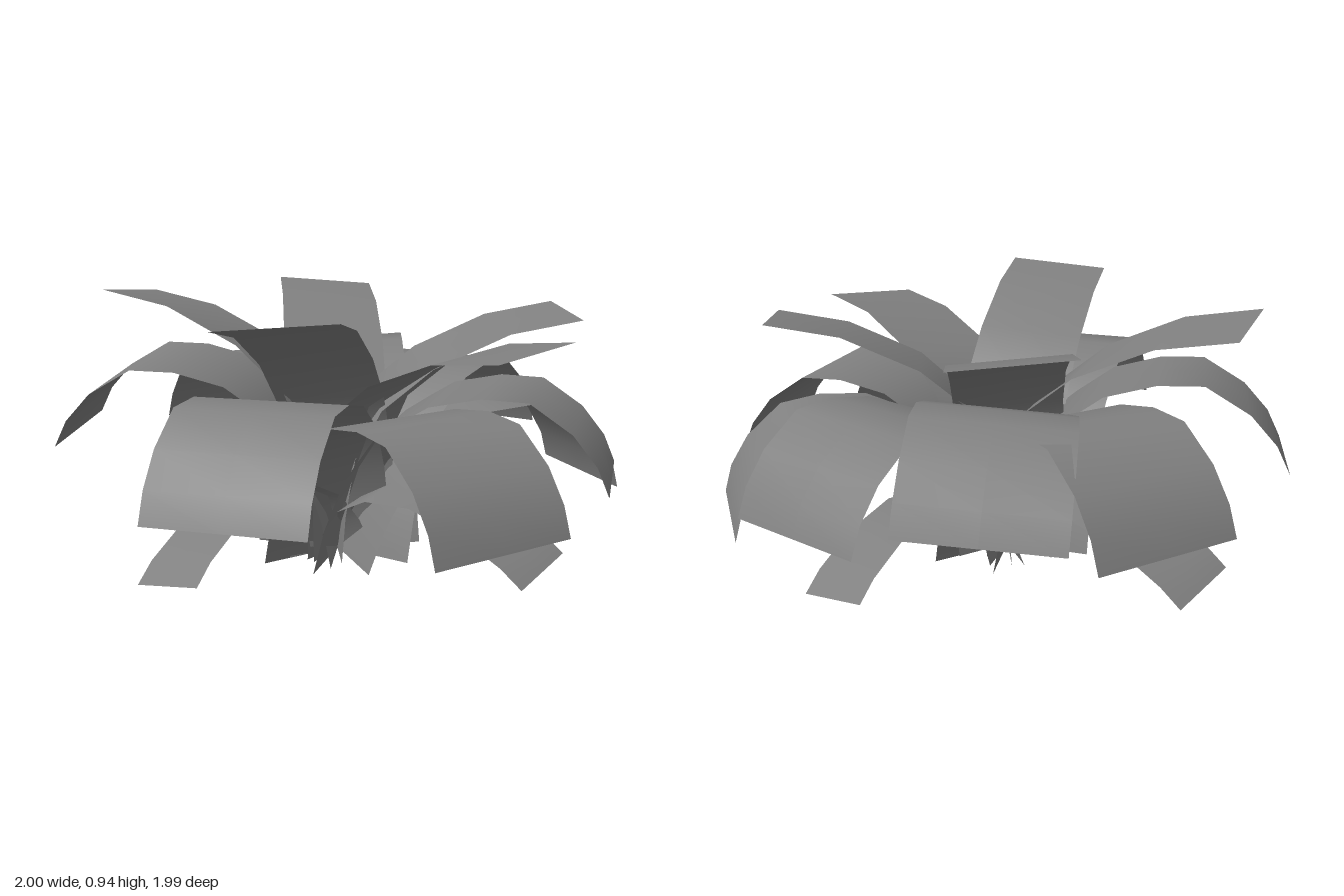
import * as THREE from 'three';

const material = new THREE.MeshStandardMaterial({ color: 0x808080, side: THREE.DoubleSide });

// Strip that follows a side profile of [outward, up] points, shifted sideways; taper gives the width factor along it
function stripGeometry(profile, width, shift = 0, taper = () => 1) {
  const n = profile.length - 1;
  const geo = new THREE.PlaneGeometry(1, 1, 2, n);
  const pos = geo.attributes.position;
  for (let i = 0; i < pos.count; i++) {
    const row = Math.floor(i / 3);
    const [out, up] = profile[n - row];
    pos.setXYZ(i, pos.getX(i) * width * taper(1 - row / n) + shift, up, out);
  }
  geo.computeVertexNormals();
  return geo;
}

// Heading is the ground direction (x, z); pitch lifts the tip, roll lifts its left edge (degrees)
function addLeaf(group, name, geo, [x, z], { pitch = 0, roll = 0, size = 1 }) {
  const leaf = new THREE.Mesh(geo, material);
  leaf.name = name;
  leaf.rotation.order = 'YXZ';
  leaf.rotation.set(
    -THREE.MathUtils.degToRad(pitch),
    Math.atan2(x, z),
    THREE.MathUtils.degToRad(roll)
  );
  leaf.scale.set(1, size, size);
  group.add(leaf);
}

function ring(parent, name) {
  const group = new THREE.Group();
  group.name = name;
  parent.add(group);
  return group;
}

export function createModel() {
  const model = new THREE.Group();
  model.name = 'leafyPlant';

  // Wide leaves that arch over and droop
  const outer = ring(model, 'droopingLeaves');
  const outerGeo = stripGeometry([
    [0, 0.02], [0.04, 0.18], [0.11, 0.36], [0.22, 0.52], [0.39, 0.625],
    [0.56, 0.66], [0.71, 0.655], [0.85, 0.56], [0.93, 0.46], [0.97, 0.365],
  ], 0.5, -0.05);
  [
    [0.177, -0.984, 0, 0, 1.005], [0.707, -0.707, 3.7, -4.5, 1.0], [0.984, -0.18, 0, 0, 0.995],
    [0.917, 0.4, -7, 1, 0.97], [0.505, 0.863, 0, 0, 0.985], [-0.2, 0.98, -4.4, 1, 0.98],
    [-0.87, 0.5, 0, 0, 1.005], [-0.634, -0.773, 3.7, -3.5, 1.015],
  ].forEach(([x, z, pitch, roll, size]) => addLeaf(outer, 'droopingLeaf', outerGeo, [x, z], { pitch, roll, size }));

  // Raised leaves at the top
  const upper = ring(model, 'raisedLeaves');
  const upperGeo = stripGeometry([
    [0, 0.02], [0.01, 0.2], [0.04, 0.42], [0.13, 0.6],
    [0.31, 0.75], [0.58, 0.875], [0.84, 0.925],
  ], 0.375, 0.042);
  [
    [-0.43, -0.9, 0, 1], [0.62, -0.784, 0, 0.995], [0.79, 0.61, -0.6, 0.955],
    [0, 1, -4.3, 0.96], [-0.81, 0.59, 0, 0.995],
  ].forEach(([x, z, pitch, size]) => addLeaf(upper, 'raisedLeaf', upperGeo, [x, z], { pitch, size, roll: 4.5 }));

  // Narrower low leaves, one to each side
  const lower = ring(model, 'lowLeaves');
  const lowerGeo = stripGeometry([
    [0, 0.03], [0.04, 0.13], [0.12, 0.235], [0.25, 0.3],
    [0.43, 0.31], [0.61, 0.255], [0.76, 0.17], [0.83, 0.11],
  ], 0.27, 0.025);
  for (let i = 0; i < 4; i++) {
    const a = 0.125 + i * Math.PI / 2;
    addLeaf(lower, 'lowLeaf', lowerGeo, [Math.sin(a), Math.cos(a)], { roll: 11 });
  }

  // Slim pointed shoots in the heart of the plant
  const shoots = ring(model, 'heartShoots');
  const shootGeo = stripGeometry([
    [0, 0.015], [0.04, 0.12], [0.08, 0.24], [0.14, 0.36], [0.21, 0.46],
  ], 0.13, 0, (t) => 0.25 + 1.5 * t * (1 - t) - 0.2 * t);
  for (let i = 0; i < 10; i++) {
    const a = i * 2.4;
    addLeaf(shoots, 'shoot', shootGeo, [Math.sin(a), Math.cos(a)],
      { pitch: (i % 3) * 7 - 5, roll: (i % 2) * 12 - 6 });
  }

  return model;
}
